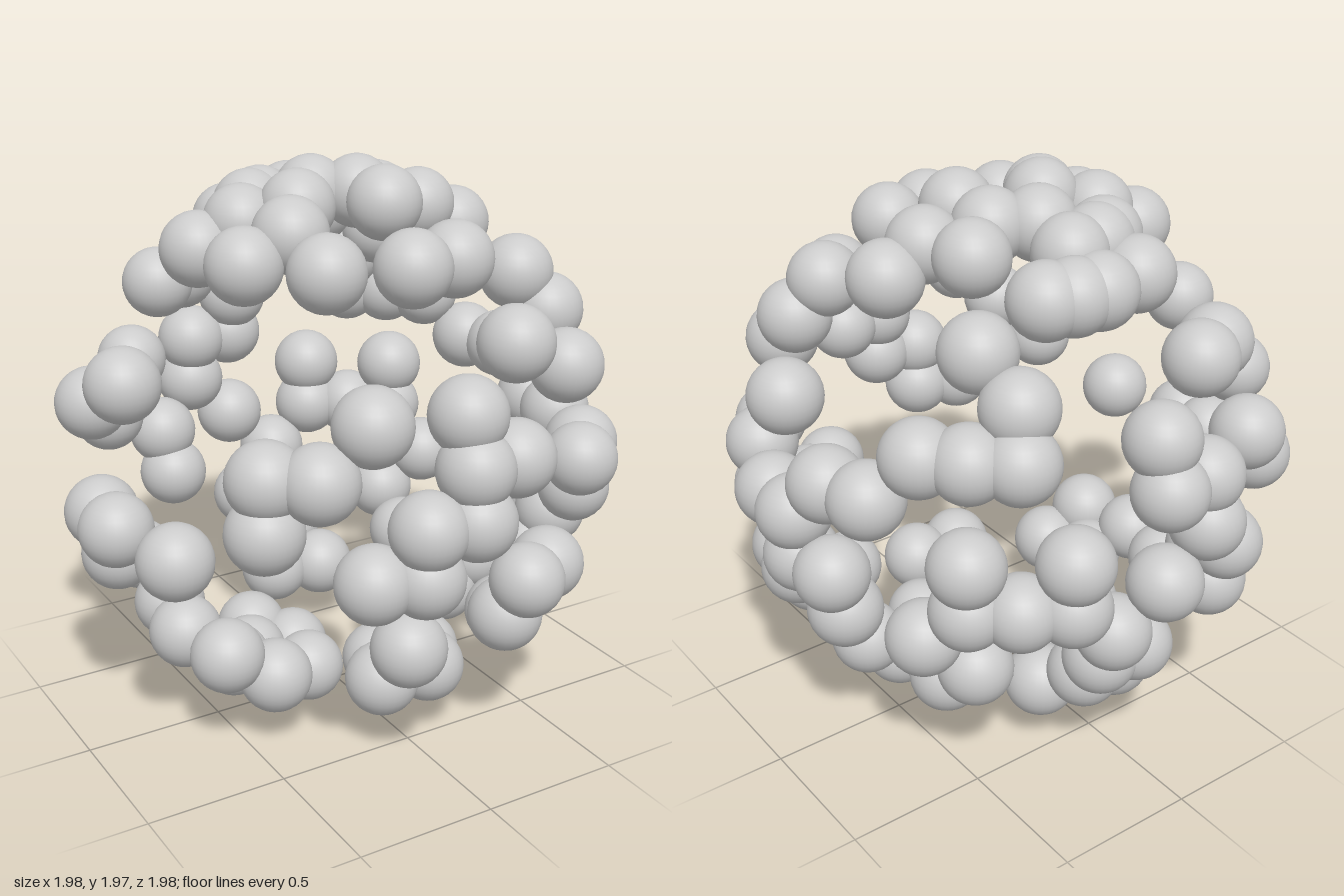
import * as THREE from 'three';

const SHELL = 0.871;          // radius of the shell the balls sit on
const BALL = 0.129;           // ball radius
const STEP = Math.PI / 16;    // angular spacing of rows and columns
const CENTRE_Y = SHELL * Math.cos(STEP) + BALL;

// Occupied columns of each latitude row (column 0 = front, 8 = +x, 16 = back)
const ROWS = {
  '7': [4, 11, 16, -7],
  '6': [8, 11, 16, -14, -13, -9, -5],
  '5': [0, 2, 8, 14, 15, 16, -14, -9, -6, -3],
  '4': [5, 12],
  '3': [2, 5, 13, -14, -13],
  '2': [0, 4, 7, 11, 12, 13, 16, -8, -2],
  '1': [0, 1, 9, 10, 16, -15, -13, -10, -4, -3],
  '0': [0, 4, 5, 7, 8, 12, 14, -15, -12, -4, -1],
  '-1': [5, 8, 9, 12, 13, 14, 16, -14, -9, -8, -6, -2, -1],
  '-2': [2, 3, 6, 7, 9, 11, 15, -14, -9],
  '-3': [2, 6, 12, 15, 16, -11, -1],
  '-4': [4, 8, 11, 15, 16, -10, -8, -6],
  '-5': [1, 8, 14, 16, -7, -5, -1],
  '-6': [4, 9, -12, -9],
  '-7': [3, -12, -6],
};

export function createModel() {
  const model = new THREE.Group();
  model.name = 'ballShell';
  const material = new THREE.MeshStandardMaterial({ color: 0xcccccc });
  const geometry = new THREE.SphereGeometry(BALL, 32, 16);

  for (const [row, columns] of Object.entries(ROWS)) {
    const ring = new THREE.Group();
    ring.name = `ballRow${row}`;
    ring.position.y = CENTRE_Y + SHELL * Math.sin(row * STEP);
    const radius = SHELL * Math.cos(row * STEP);
    for (const column of columns) {
      const ball = new THREE.Mesh(geometry, material);
      ball.name = 'ball';
      ball.position.set(radius * Math.sin(column * STEP), 0, radius * Math.cos(column * STEP));
      ring.add(ball);
    }
    model.add(ring);
  }
  return model;
}
